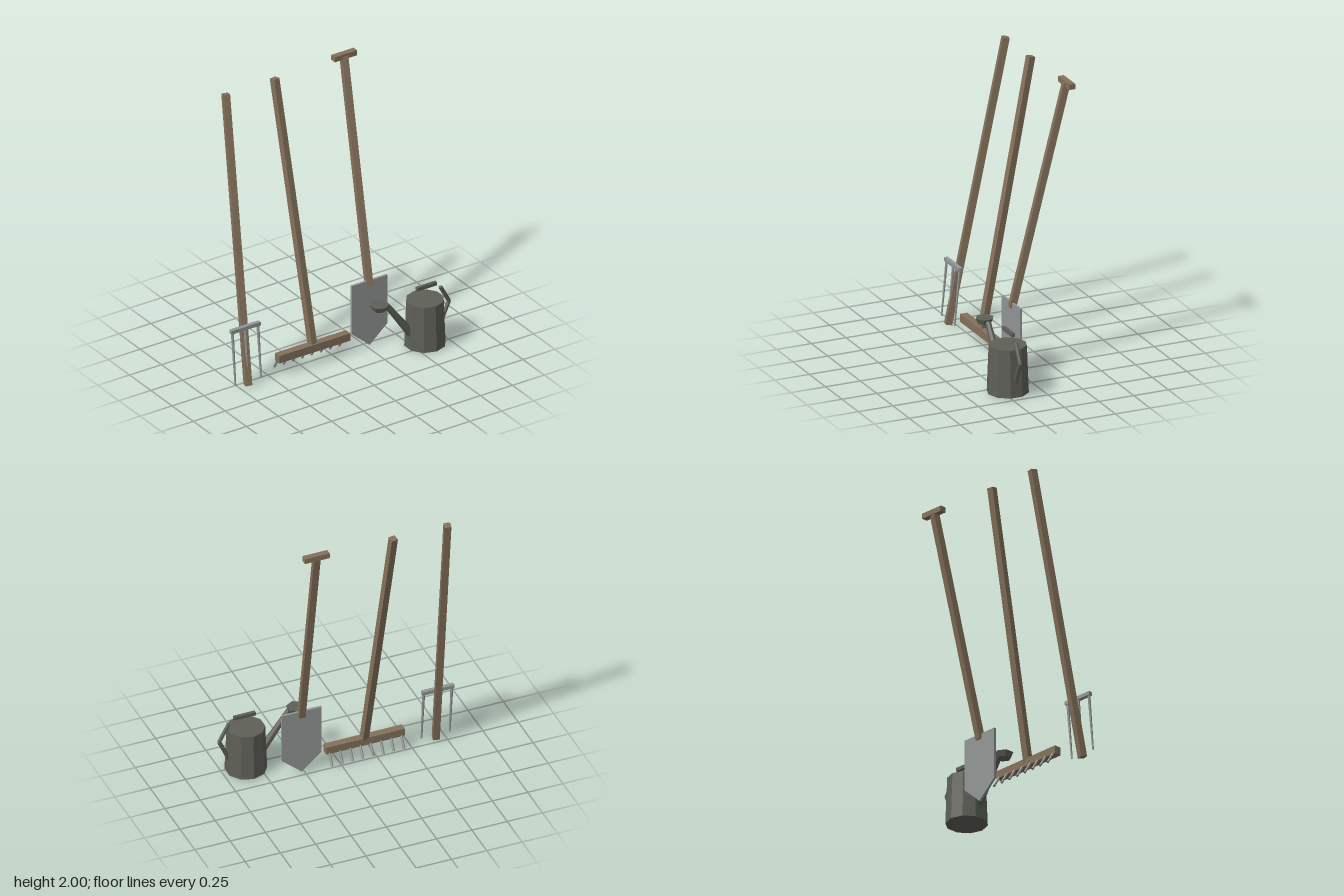
import * as THREE from 'three';

const wood = new THREE.MeshStandardMaterial({ color: 0x85715b });
wood.name = 'wood';
const steel = new THREE.MeshStandardMaterial({ color: 0x929695 });
steel.name = 'steel';
const zinc = new THREE.MeshStandardMaterial({ color: 0x5e6057 });
zinc.name = 'dark zinc';

const V = (x, y, z) => new THREE.Vector3(x, y, z);

// Faceted mesh
function add(group, name, geometry, material) {
  const flat = geometry.index ? geometry.toNonIndexed() : geometry;
  flat.computeVertexNormals();
  const mesh = new THREE.Mesh(flat, material);
  mesh.name = name;
  group.add(mesh);
  return mesh;
}

function box(group, name, size, pos, material) {
  const mesh = add(group, name, new THREE.BoxGeometry(...size), material);
  mesh.position.set(...pos);
  return mesh;
}

// Orients a y-axis geometry from a to b, one side staying horizontal
function span(mesh, a, b) {
  const dir = b.clone().sub(a).normalize();
  const side = V(0, 1, 0).cross(dir).normalize();
  const face = side.clone().cross(dir);
  mesh.quaternion.setFromRotationMatrix(new THREE.Matrix4().makeBasis(side, dir, face));
  mesh.position.copy(a).add(b).multiplyScalar(0.5);
  return mesh;
}

function rod(group, name, a, b, rA, rB, sides, material) {
  const geo = new THREE.CylinderGeometry(rB, rA, a.distanceTo(b), sides);
  return span(add(group, name, geo, material), a, b);
}

function shaft(group, a, b) {
  const geo = new THREE.BoxGeometry(0.045, a.distanceTo(b), 0.045);
  return span(add(group, 'shaft', geo, wood), a, b);
}

function tool(root, name) {
  const group = new THREE.Group();
  group.name = name;
  root.add(group);
  return group;
}

function buildFork(root) {
  const g = tool(root, 'fork');
  shaft(g, V(-0.685, 0.007, 0.045), V(-0.608, 1.977, -0.333));
  box(g, 'crossbar', [0.228, 0.026, 0.028], [-0.684, 0.417, 0.009], steel);
  for (const x of [-0.784, -0.684, -0.584]) {
    rod(g, 'tine', V(x, 0.03, 0.046), V(x, 0.41, 0.009), 0.006, 0.01, 6, steel);
  }
}

function buildRake(root) {
  const g = tool(root, 'rake');
  shaft(g, V(-0.175, 0.13, 0.042), V(-0.225, 1.977, -0.333));
  box(g, 'head', [0.556, 0.055, 0.053], [-0.177, 0.133, 0.042], wood);
  for (let i = 0; i < 8; i++) {
    const x = -0.431 + i * 0.0726;
    rod(g, 'tooth', V(x, 0.034, -0.026), V(x, 0.125, 0.03), 0.009, 0.009, 6, steel);
  }
}

function buildSpade(root) {
  const g = tool(root, 'spade');
  shaft(g, V(0.27, 0.453, 0.035), V(0.318, 1.977, -0.333));
  box(g, 'gripBar', [0.176, 0.037, 0.042], [0.322, 1.981, -0.335], wood);
  // Pointed blade
  const outline = [[0.13, 0.49], [0.13, 0.132], [0.27, 0.01], [0.41, 0.132], [0.41, 0.49]];
  const shape = new THREE.Shape(outline.map(([x, y]) => new THREE.Vector2(x, y)));
  const geo = new THREE.ExtrudeGeometry(shape, { depth: 0.016, bevelEnabled: false });
  add(g, 'blade', geo, steel).position.z = 0.027;
}

function buildWateringCan(root) {
  const g = tool(root, 'wateringCan');
  const z = 0.214;
  const body = add(g, 'body', new THREE.CylinderGeometry(0.127, 0.14, 0.328, 10), zinc);
  body.position.set(0.588, 0.172, z);
  rod(g, 'spout', V(0.485, 0.105, z), V(0.283, 0.385, z), 0.03, 0.019, 6, zinc);
  const rose = add(g, 'rose', new THREE.CylinderGeometry(0.064, 0.047, 0.038, 6), zinc);
  rose.position.set(0.234, 0.381, z);
  box(g, 'topGrip', [0.154, 0.025, 0.023], [0.598, 0.427, z], zinc);
  // Bent back handle
  const elbow = V(0.777, 0.265, z);
  rod(g, 'upperHandle', elbow, V(0.71, 0.388, z), 0.014, 0.014, 6, zinc);
  rod(g, 'lowerHandle', V(0.702, 0.1, z), elbow, 0.014, 0.014, 6, zinc);
}

export function createModel() {
  const root = new THREE.Group();
  root.name = 'gardenTools';
  buildFork(root);
  buildRake(root);
  buildSpade(root);
  buildWateringCan(root);
  return root;
}
